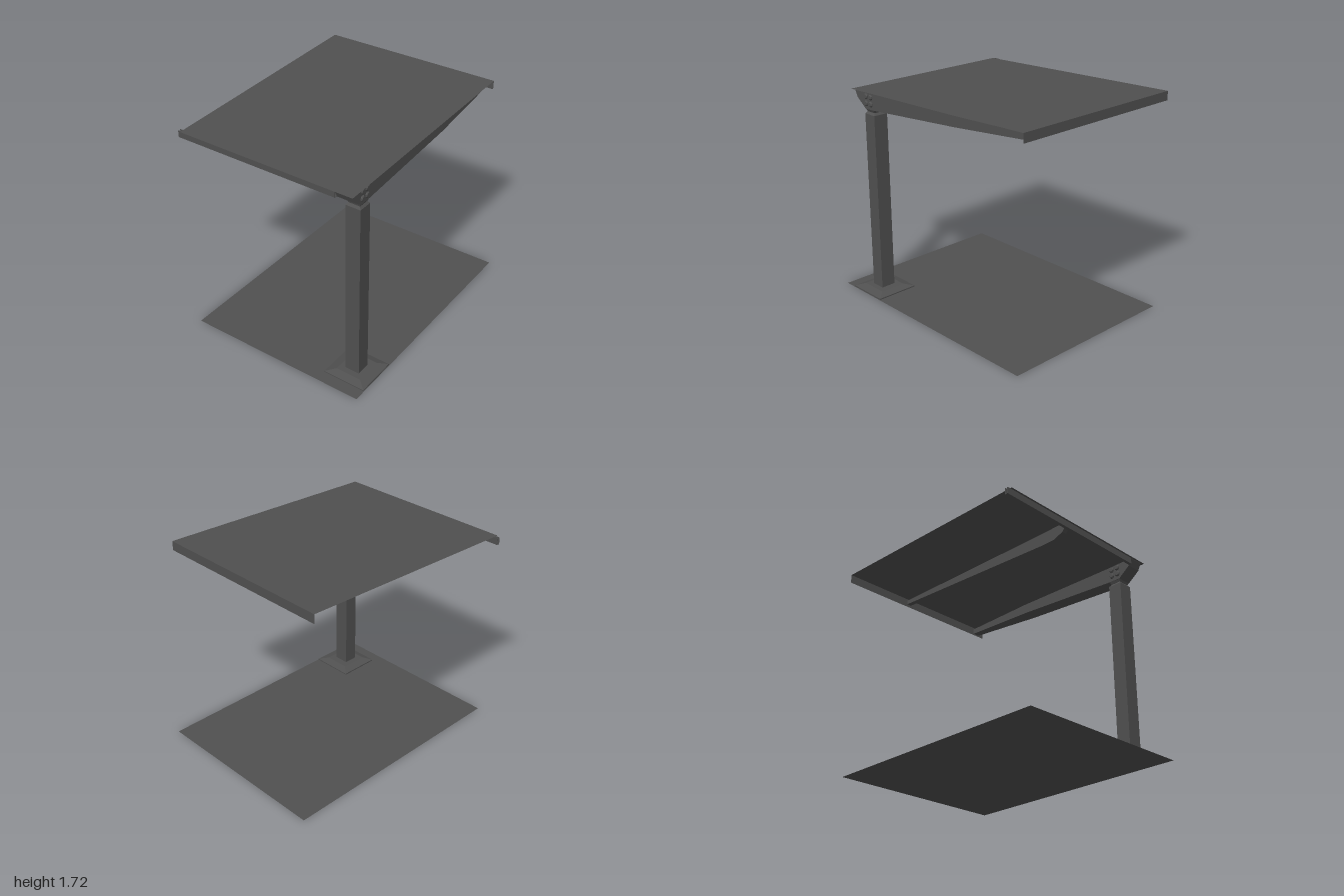
import * as THREE from 'three';

const grey = new THREE.MeshStandardMaterial({ color: 0x505050, side: THREE.DoubleSide, flatShading: true });
grey.name = 'dark grey metal';

function add(parent, name, geo, x = 0, y = 0, z = 0) {
  const m = new THREE.Mesh(geo, grey);
  m.name = name;
  m.position.set(x, y, z);
  parent.add(m);
  return m;
}

// Square loft around the y axis: rings of [y, halfX, halfZ]
function squareLoft(rings) {
  return loft(rings.map(([y, a, b]) => [[-a, y, b], [a, y, b], [a, y, -b], [-a, y, -b]]));
}

// Joins four-cornered cross-sections and closes both ends
function loft(sections) {
  const index = [];
  for (let s = 0; s < sections.length - 1; s++) {
    for (let i = 0; i < 4; i++) {
      const a = s * 4 + i, b = s * 4 + (i + 1) % 4;
      index.push(a, b, b + 4, a, b + 4, a + 4);
    }
  }
  const e = (sections.length - 1) * 4;
  index.push(0, 2, 1, 0, 3, 2, e, e + 1, e + 2, e, e + 2, e + 3);
  const g = new THREE.BufferGeometry();
  g.setAttribute('position', new THREE.Float32BufferAttribute(sections.flat(2), 3));
  g.setIndex(index);
  const flat = g.toNonIndexed();
  flat.computeVertexNormals();
  return flat;
}

// Cantilever beam along x: stations of [x, bottom, top, halfWidth]
function beam(stations) {
  return loft(stations.map(([x, b, t, w]) => [[x, b, w], [x, b, -w], [x, t, -w], [x, t, w]]));
}

export function createModel() {
  const group = new THREE.Group();
  group.name = 'cantileverCarport';
  const px = -0.741, pz = 0.63;

  // Parking floor
  add(group, 'floor', new THREE.PlaneGeometry(2, 1.5).rotateX(-Math.PI / 2), 0, 0, 0.06);

  // Footing and post with its narrowed neck
  add(group, 'footing', squareLoft([
    [0.001, 0.169, 0.175], [0.01, 0.169, 0.175], [0.03, 0.11, 0.105],
  ]), -0.736, 0, pz);
  add(group, 'post', squareLoft([
    [0.03, 0.057, 0.061], [1.477, 0.057, 0.061], [1.495, 0.042, 0.047], [1.52, 0.05, 0.058],
  ]), px, 0, pz);

  // Main beam, full width to mid span and then tapering to the tip
  add(group, 'mainBeam', beam([
    [-0.917, 1.645, 1.648, 0.06], [-0.89, 1.59, 1.648, 0.06], [-0.79, 1.515, 1.648, 0.06],
    [-0.70, 1.518, 1.648, 0.06], [0.25, 1.597, 1.679, 0.06], [0.938, 1.655, 1.70, 0.03],
  ]), 0, 0, pz);

  // Secondary beam under the middle of the roof
  add(group, 'secondaryBeam', beam([
    [-0.917, 1.63, 1.648, 0.02], [-0.87, 1.575, 1.648, 0.02], [-0.78, 1.545, 1.648, 0.02],
    [-0.65, 1.548, 1.65, 0.02], [0.938, 1.665, 1.70, 0.02],
  ]), 0, 0, -0.165);

  // Bolts through the main beam
  for (const x of [-0.775, -0.72]) {
    for (const y of [1.562, 1.617]) {
      const profile = [[0, -0.072], [0.015, -0.072], [0.022, -0.066], [0.022, 0.066], [0.015, 0.072], [0, 0.072]]
        .map(([r, h]) => new THREE.Vector2(r, h));
      add(group, 'bolt', new THREE.LatheGeometry(profile, 8, Math.PI / 8).rotateX(Math.PI / 2), x, y, pz);
    }
  }

  // Thin sloping roof sheet with a fascia along the high edge
  const x0 = -0.93, x1 = 0.95, y0 = 1.651, y1 = 1.722;
  const roof = new THREE.PlaneGeometry(x1 - x0, 1.495).rotateX(-Math.PI / 2);
  const p = roof.attributes.position;
  for (let i = 0; i < p.count; i++) p.setY(i, p.getX(i) < 0 ? y0 : y1);
  roof.computeVertexNormals();
  add(group, 'roofSheet', roof, (x0 + x1) / 2, 0, -0.028);
  add(group, 'fascia', new THREE.PlaneGeometry(1.495, 0.072).rotateY(Math.PI / 2), x1, 1.686, -0.028);

  // Gutter channel along the low edge
  const gutterLength = 1.375, gz = -0.1175;
  add(group, 'gutterBottom', new THREE.BoxGeometry(0.025, 0.004, gutterLength), -0.905, 1.597, gz);
  for (const x of [-0.9155, -0.8945]) {
    add(group, 'gutterWall', new THREE.BoxGeometry(0.004, 0.053, gutterLength), x, 1.6225, gz);
  }
  return group;
}
